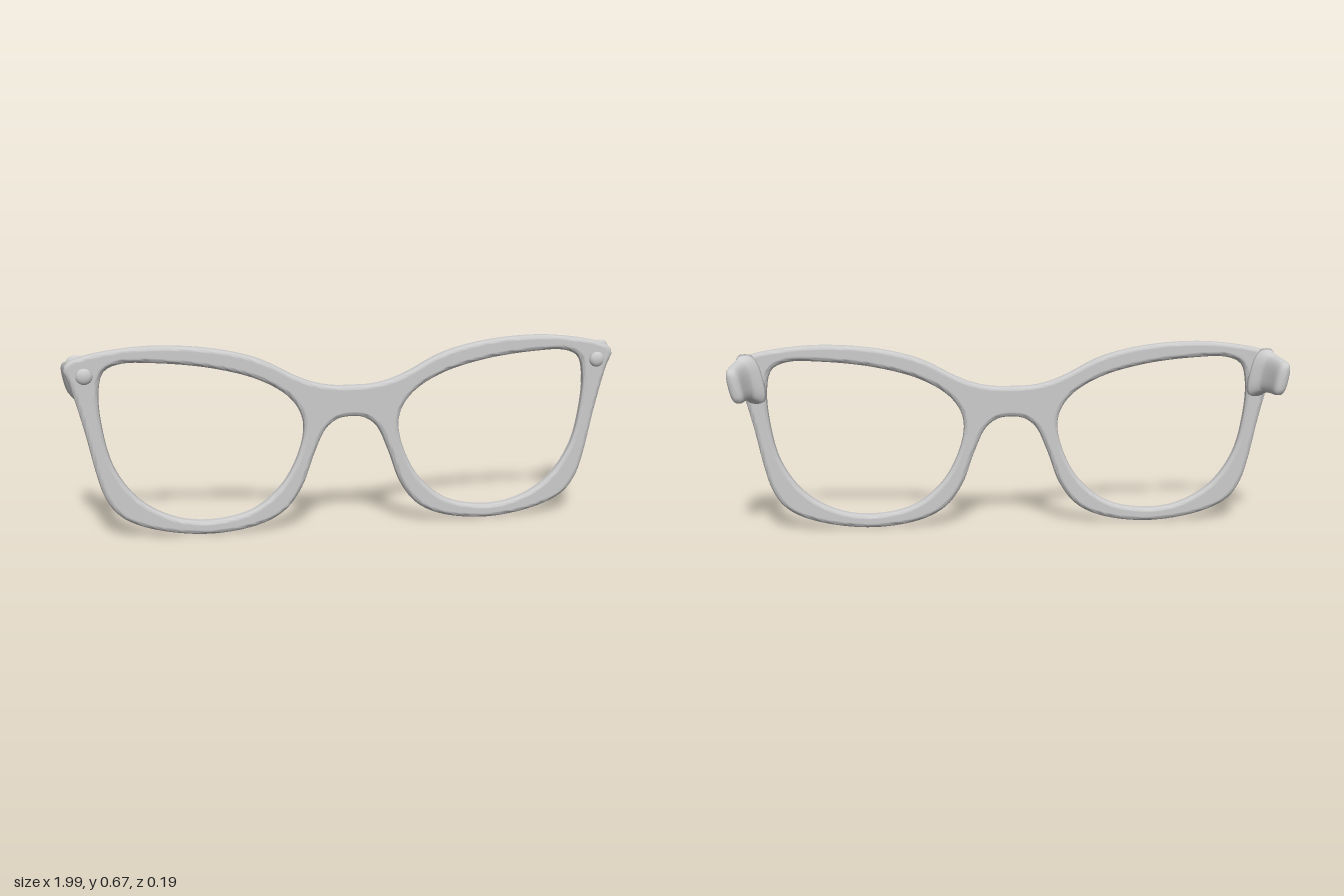
import * as THREE from 'three';
import { toCreasedNormals } from 'three/addons/utils/BufferGeometryUtils.js';

const material = new THREE.MeshStandardMaterial({ color: 0xcccccc });

// Smooth closed loop of evenly spaced points through a few control points
function smoothLoop(points, count) {
  const curve = new THREE.CatmullRomCurve3(points.map(([x, y]) => new THREE.Vector3(x, y, 0)), true);
  return curve.getSpacedPoints(count).slice(0, -1).map((p) => new THREE.Vector2(p.x, p.y));
}

const mirror = (points) => points.map(([x, y]) => [-x, y]).reverse();

// Half of the outer outline, from the top of the bridge round to its underside
const outline = [
  [0, 0.517], [0.07, 0.519], [0.135, 0.532], [0.2, 0.557], [0.33, 0.622], [0.49, 0.661], [0.695, 0.675],
  [0.866, 0.658], [0.93, 0.643], [0.972, 0.626], [0.987, 0.6], [0.969, 0.555], [0.925, 0.39], [0.89, 0.23],
  [0.865, 0.15], [0.82, 0.085], [0.73, 0.037], [0.52, 0.002], [0.33, 0.027], [0.24, 0.075], [0.18, 0.155],
  [0.134, 0.277], [0.092, 0.365], [0.048, 0.398], [0, 0.405],
];

// One lens opening
const opening = [
  [0.172, 0.37], [0.185, 0.43], [0.23, 0.488], [0.33, 0.547], [0.49, 0.592], [0.68, 0.615], [0.8, 0.615],
  [0.853, 0.59], [0.872, 0.52], [0.864, 0.39], [0.83, 0.257], [0.75, 0.142], [0.635, 0.073],
  [0.51, 0.053], [0.36, 0.082], [0.255, 0.165], [0.195, 0.27],
];

// Rounded slab with two openings, wrapped back and thinned towards its ends
function frontGeometry() {
  const loop = [...outline, ...mirror(outline.slice(1, -1))].reverse();
  const shape = new THREE.Shape(smoothLoop(loop, 260));
  for (const hole of [opening, mirror(opening)]) shape.holes.push(new THREE.Path(smoothLoop(hole, 110)));
  const depth = 0.006, bevel = 0.017, half = depth / 2 + bevel;
  const slab = new THREE.ExtrudeGeometry(shape, {
    depth, bevelThickness: bevel, bevelSize: 0.018, bevelOffset: -0.018, bevelSegments: 5, curveSegments: 1,
  });
  slab.translate(0, 0, -depth / 2);
  const geometry = toCreasedNormals(slab, Math.PI / 3);
  const p = geometry.attributes.position, normals = geometry.attributes.normal;
  const normal = new THREE.Vector3();
  for (let i = 0; i < p.count; i++) {
    const x = p.getX(i), z = p.getZ(i);
    normal.fromBufferAttribute(normals, i);
    // The flat faces run tangentially into the rounded edges
    if (Math.abs(z) > half - 1e-5) normal.set(0, 0, Math.sign(z));
    normal.x += 0.036 * x * normal.z;
    normal.normalize();
    normals.setXYZ(i, normal.x, normal.y, normal.z);
    p.setZ(i, 0.067 - 0.018 * x * x + z * (1 - 0.3 * x * x));
  }
  return geometry;
}

// Hinge stub lofted backwards through rounded, slightly leaning sections
function hingeGeometry(side) {
  // z, centre x, half width, centre y, half height
  const sections = [
    [0.052, 0.926, 0.03, 0.555, 0.07], [0.04, 0.924, 0.044, 0.557, 0.09], [0.032, 0.928, 0.042, 0.557, 0.083],
    [0.024, 0.936, 0.037, 0.557, 0.076], [0.012, 0.946, 0.032, 0.556, 0.07], [0, 0.953, 0.029, 0.556, 0.066],
    [-0.04, 0.961, 0.026, 0.553, 0.063], [-0.07, 0.966, 0.0255, 0.549, 0.06], [-0.083, 0.967, 0.023, 0.547, 0.057],
    [-0.091, 0.967, 0.017, 0.547, 0.048], [-0.095, 0.967, 0.008, 0.547, 0.036], [-0.096, 0.967, 0, 0.547, 0],
  ];
  const n = 32, positions = [], index = [];
  const round = (v) => Math.sign(v) * Math.abs(v) ** 0.7;
  sections.forEach(([z, cx, w, cy, h], i) => {
    for (let j = 0; j < n; j++) {
      const t = (j / n) * Math.PI * 2;
      const y = cy + h * round(Math.sin(t));
      positions.push(side * (cx + 0.2 * (y - 0.55)) + w * round(Math.cos(t)), y, z);
      if (i === sections.length - 1) continue;
      const a = i * n + j, b = i * n + ((j + 1) % n);
      index.push(a, a + n, b, b, a + n, b + n);
    }
  });
  const geometry = new THREE.BufferGeometry();
  geometry.setAttribute('position', new THREE.Float32BufferAttribute(positions, 3));
  geometry.setIndex(index);
  geometry.computeVertexNormals();
  return geometry;
}

// Domed rivet head on a thin stem, turned to face forwards
function rivetGeometry() {
  const profile = [[0, 0.055], [0.01, 0.055], [0.01, 0.078], [0.025, 0.078]];
  for (let i = 0; i <= 8; i++) {
    const t = (i / 8) * Math.PI / 2;
    profile.push([0.028 * Math.cos(t), 0.08 + 0.0146 * Math.sin(t)]);
  }
  const lathe = new THREE.LatheGeometry(profile.map(([r, z]) => new THREE.Vector2(Math.max(r, 0), z)), 24);
  return lathe.rotateX(Math.PI / 2);
}

export function createModel() {
  const model = new THREE.Group();
  model.name = 'glassesFront';
  const add = (name, geometry) => {
    const mesh = new THREE.Mesh(geometry, material);
    mesh.name = name;
    model.add(mesh);
    return mesh;
  };

  add('frameFront', frontGeometry());
  for (const [label, side] of [['left', 1], ['right', -1]]) {
    add(`${label}Hinge`, hingeGeometry(side));
    add(`${label}Rivet`, rivetGeometry()).position.set(side * 0.917, 0.58, 0);
  }
  return model;
}
